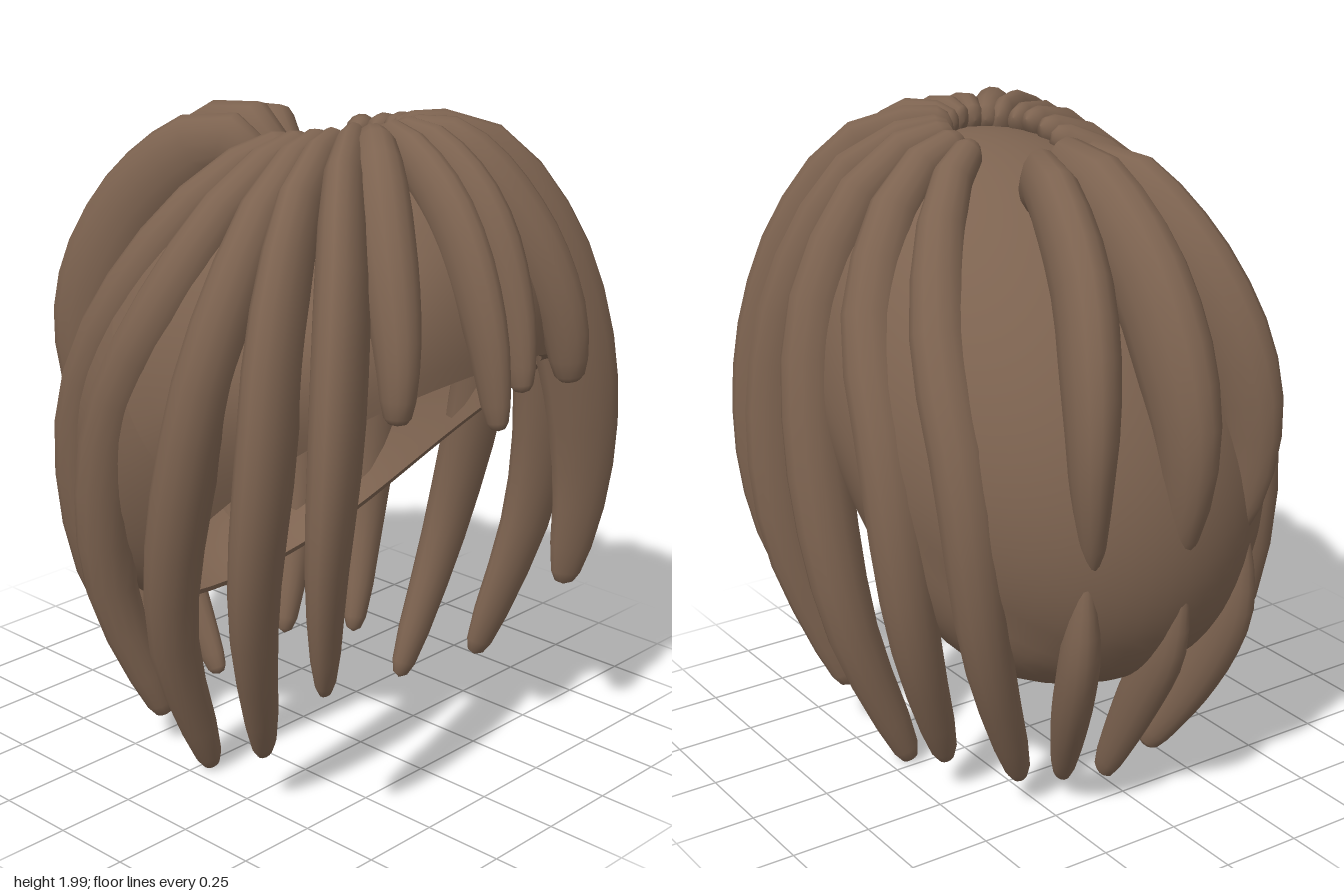
import * as THREE from 'three';

const hair = new THREE.MeshStandardMaterial({ color: 0x7d6350, side: THREE.DoubleSide });
hair.name = 'brown hair';

// Tapered strand: elliptical rings along a curve, deep axis facing away from a centre at depth centreZ
function strandGeometry(points, halfWidth, halfDepth, startSize, tipSize, centreZ) {
  const curve = new THREE.CatmullRomCurve3(points.map(p => new THREE.Vector3(...p)));
  const centre = new THREE.Vector3(0, 1.1, centreZ);
  const sides = 14;
  // [position along the curve, size]; the end rings close to a point
  const rings = [[0, 0], [0.004, startSize * 0.6], [0.02, startSize]];
  for (let i = 1; i <= 12; i++) {
    const t = i / 13;
    const grow = startSize + (1 - startSize) * Math.sin(Math.min(t / 0.4, 1) * Math.PI / 2);
    const shrink = 1 - (1 - tipSize) * Math.pow(Math.max(0, (t - 0.5) / 0.5), 1.6);
    rings.push([t, grow * shrink]);
  }
  rings.push([0.975, tipSize * 0.95], [0.993, tipSize * 0.6], [1, 0]);

  const pos = [], index = [];
  rings.forEach(([t, size], r) => {
    const c = curve.getPointAt(t), tan = curve.getTangentAt(t);
    const out = c.clone().sub(centre);
    out.addScaledVector(tan, -out.dot(tan)).normalize();
    const side = tan.clone().cross(out);
    for (let s = 0; s < sides; s++) {
      const a = s / sides * Math.PI * 2;
      const p = c.clone()
        .addScaledVector(out, Math.cos(a) * halfDepth * size)
        .addScaledVector(side, -Math.sin(a) * halfWidth * size);
      pos.push(p.x, p.y, p.z);
      if (r > 0) {
        const n = (s + 1) % sides, lo = (r - 1) * sides, hi = r * sides;
        index.push(lo + s, lo + n, hi + s, lo + n, hi + n, hi + s);
      }
    }
  });
  const g = new THREE.BufferGeometry();
  g.setAttribute('position', new THREE.Float32BufferAttribute(pos, 3));
  g.setIndex(index);
  g.computeVertexNormals();
  return g;
}

// Squares off the open end of the cap front and back, and lifts it over the ears
function bendRim(g) {
  const p = g.attributes.position;
  for (let i = 0; i < p.count; i++) {
    const x = p.getX(i), y = p.getY(i), z = p.getZ(i);
    const low = Math.max(0, -y) / 0.56;
    p.setXYZ(i, x * (1 + 0.5 * z * z * low), y + 0.12 * x * x * low, z);
  }
  g.computeVertexNormals();
}

// Scalp cap: a thin open shell, tilted back and sheared into the head shape
function scalpCap() {
  const cap = new THREE.Group();
  cap.name = 'scalpCap';
  const open = THREE.MathUtils.degToRad(124), inner = 0.975;
  const shape = new THREE.Matrix4().set(
    0.655, 0, 0, 0,
    0, 0.78, 0, 1.14,
    0, 0.25, 0.728, -0.01,
    0, 0, 0, 1);
  const rim = [inner, 1].map(r => new THREE.Vector2(r * Math.sin(open), r * Math.cos(open)));
  const parts = {
    capOutside: new THREE.SphereGeometry(1, 56, 32, 0, Math.PI * 2, 0, open),
    capInside: new THREE.SphereGeometry(inner, 56, 32, 0, Math.PI * 2, 0, open),
    capRim: new THREE.LatheGeometry(rim, 56),
  };
  for (const [name, g] of Object.entries(parts)) {
    bendRim(g);
    g.rotateX(THREE.MathUtils.degToRad(-49.6)).applyMatrix4(shape);
    const m = new THREE.Mesh(g, hair);
    m.name = name;
    cap.add(m);
  }
  return cap;
}

export function createModel() {
  const model = new THREE.Group();
  model.name = 'hair';
  const body = new THREE.Group();
  body.name = 'hairBody';
  model.add(body);
  body.add(scalpCap());

  const add = (name, pts, w, d, start = 0.5, tip = 0.45, centreZ = 0) => {
    const m = new THREE.Mesh(strandGeometry(pts, w, d, start, tip, centreZ), hair);
    m.name = name;
    body.add(m);
  };
  const pair = (name, pts, ...rest) => {
    add(name + 'Left', pts, ...rest);
    add(name + 'Right', pts.map(([x, y, z]) => [-x, y, z]), ...rest);
  };

  // Fringe over the forehead
  add('fringeMiddleRight', [[-0.02, 1.93, 0.33], [-0.05, 1.94, 0.43], [-0.08, 1.78, 0.64], [-0.1, 1.5, 0.79], [-0.1, 1.21, 0.85]], 0.06, 0.085, 0.55, 0.45);
  add('fringeMiddleLeft', [[0.02, 1.93, 0.33], [0.035, 1.94, 0.43], [0.05, 1.78, 0.63], [0.05, 1.52, 0.76], [0.04, 1.28, 0.82]], 0.06, 0.085, 0.55, 0.45);
  add('fringeOuterLeft', [[0.05, 1.93, 0.32], [0.13, 1.93, 0.44], [0.23, 1.73, 0.61], [0.31, 1.44, 0.74], [0.34, 1.23, 0.76]], 0.08, 0.095, 0.45, 0.5);
  add('fringeOuterRight', [[-0.05, 1.93, 0.32], [-0.15, 1.93, 0.43], [-0.27, 1.73, 0.58], [-0.35, 1.44, 0.7], [-0.37, 1.26, 0.72]], 0.08, 0.095, 0.45, 0.5);

  // Long strands fanning from the crown down both sides
  pair('templeStrand', [[0.08, 1.94, 0.3], [0.28, 1.87, 0.44], [0.44, 1.57, 0.58], [0.53, 1.22, 0.645], [0.57, 0.85, 0.65], [0.54, 0.49, 0.62]], 0.075, 0.13, 0.5, 0.4, 0.35);
  pair('cheekStrand', [[0.11, 1.94, 0.26], [0.34, 1.85, 0.35], [0.53, 1.52, 0.43], [0.61, 1.16, 0.46], [0.62, 0.7, 0.42], [0.48, 0.17, 0.32]], 0.075, 0.11, 0.5, 0.45, 0.3);
  pair('earStrand', [[0.13, 1.94, 0.22], [0.35, 1.85, 0.26], [0.56, 1.52, 0.26], [0.64, 1.16, 0.2], [0.62, 0.55, 0.08], [0.43, 0.01, 0.04]], 0.085, 0.1, 0.5, 0.45, 0.12);
  pair('behindEarStrand', [[0.14, 1.93, 0.16], [0.34, 1.83, 0.13], [0.54, 1.5, 0.01], [0.6, 1.11, -0.17], [0.58, 0.6, -0.24], [0.43, 0.11, -0.17]], 0.09, 0.1, 0.5, 0.45, -0.05);
  pair('napeSideStrand', [[0.14, 1.92, 0.1], [0.3, 1.81, -0.01], [0.46, 1.48, -0.22], [0.5, 1.11, -0.4], [0.46, 0.6, -0.44], [0.29, 0.09, -0.36]], 0.09, 0.1, 0.5, 0.45, -0.05);

  // Thick raised strands over the back of the head
  add('backStrandMiddle', [[0, 1.8, -0.13], [0, 1.87, -0.23], [0, 1.67, -0.54], [0, 1.36, -0.72], [0, 1.14, -0.755], [0, 0.85, -0.71]], 0.1, 0.14, 0.75, 0.3);
  pair('backStrandSide', [[0.07, 1.8, -0.13], [0.11, 1.86, -0.23], [0.19, 1.65, -0.51], [0.26, 1.36, -0.66], [0.28, 1.14, -0.69], [0.26, 0.87, -0.67]], 0.085, 0.13, 0.7, 0.3);

  // Lower strands hanging from the nape
  add('napeStrandMiddle', [[0, 0.88, -0.74], [0, 0.6, -0.68], [0, 0.35, -0.55], [0, 0.03, -0.38]], 0.055, 0.08, 0.2, 0.5);
  pair('napeStrand', [[0.28, 0.9, -0.67], [0.27, 0.6, -0.63], [0.23, 0.35, -0.53], [0.16, 0.08, -0.39]], 0.06, 0.08, 0.2, 0.5);

  // Stand on the ground, centred front to back
  const box = new THREE.Box3().setFromObject(body);
  body.position.set(0, -box.min.y, -(box.min.z + box.max.z) / 2);
  return model;
}
